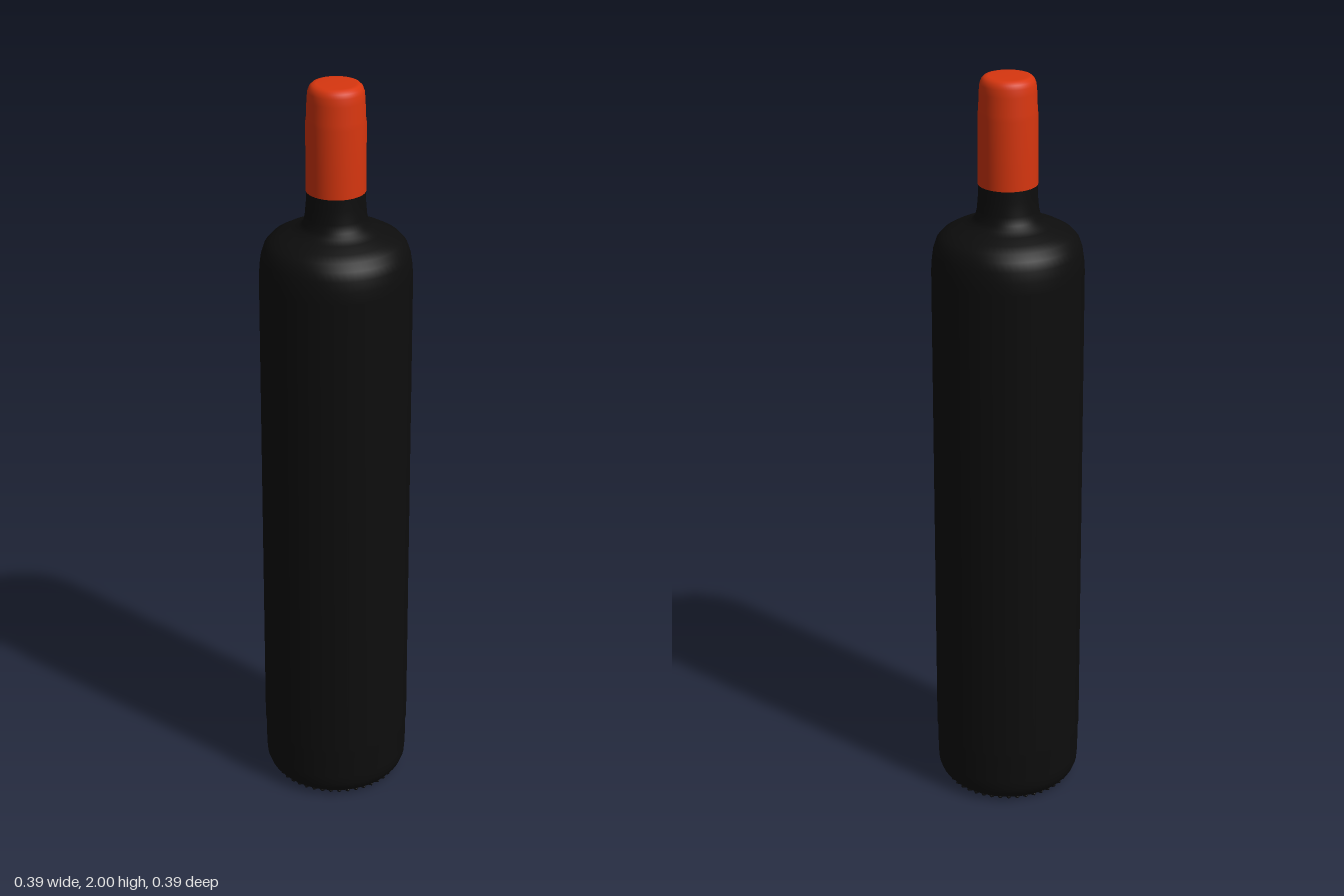
import * as THREE from 'three';
import { mergeGeometries } from 'three/addons/utils/BufferGeometryUtils.js';

const lathe = (name, points, color) => {
  const geometry = new THREE.LatheGeometry(points.map(([r, y]) => new THREE.Vector2(r, y)), 64);
  const mesh = new THREE.Mesh(geometry, new THREE.MeshStandardMaterial({ color }));
  mesh.name = name;
  return mesh;
};

export function createModel() {
  const group = new THREE.Group();
  group.name = 'bottle';
  const glass = 0x0d0d0d, red = 0xd8360f;

  // Glass body: hollowed base, bevelled heel, straight wall, round shoulder, neck
  const body = lathe('body', [
    [0, 0.05], [0.06, 0.045], [0.11, 0.028], [0.14, 0.008], [0.15, 0.005], [0.163, 0.005],
    [0.172, 0.012], [0.185, 0.027], [0.192, 0.045], [0.194, 0.07], [0.195, 0.15], [0.197, 0.16],
    [0.197, 1.49], [0.195, 1.52], [0.191, 1.548], [0.183, 1.572], [0.168, 1.589],
    [0.145, 1.602], [0.115, 1.613], [0.094, 1.622], [0.084, 1.634], [0.079, 1.655],
    [0.076, 1.69], [0.075, 1.725],
  ], glass);
  group.add(body);

  // Ring of small bumps the bottle stands on
  const bumps = [];
  const count = 44;
  for (let i = 0; i < count; i++) {
    const bump = new THREE.SphereGeometry(1, 8, 6);
    bump.scale(0.016, 0.008, 0.008);
    bump.translate(0.157, 0.008, 0);
    bump.rotateY((i / count) * Math.PI * 2);
    bumps.push(bump);
  }
  const ring = new THREE.Mesh(mergeGeometries(bumps), body.material);
  ring.name = 'baseBumps';
  group.add(ring);

  // Foil capsule over the neck, with a soft top edge
  group.add(lathe('capsule', [
    [0.074, 1.72], [0.0765, 1.721], [0.0765, 1.9], [0.0745, 1.915], [0.073, 1.96],
    [0.071, 1.98], [0.067, 1.991], [0.06, 1.998], [0.05, 2], [0, 2],
  ], red));

  return group;
}
